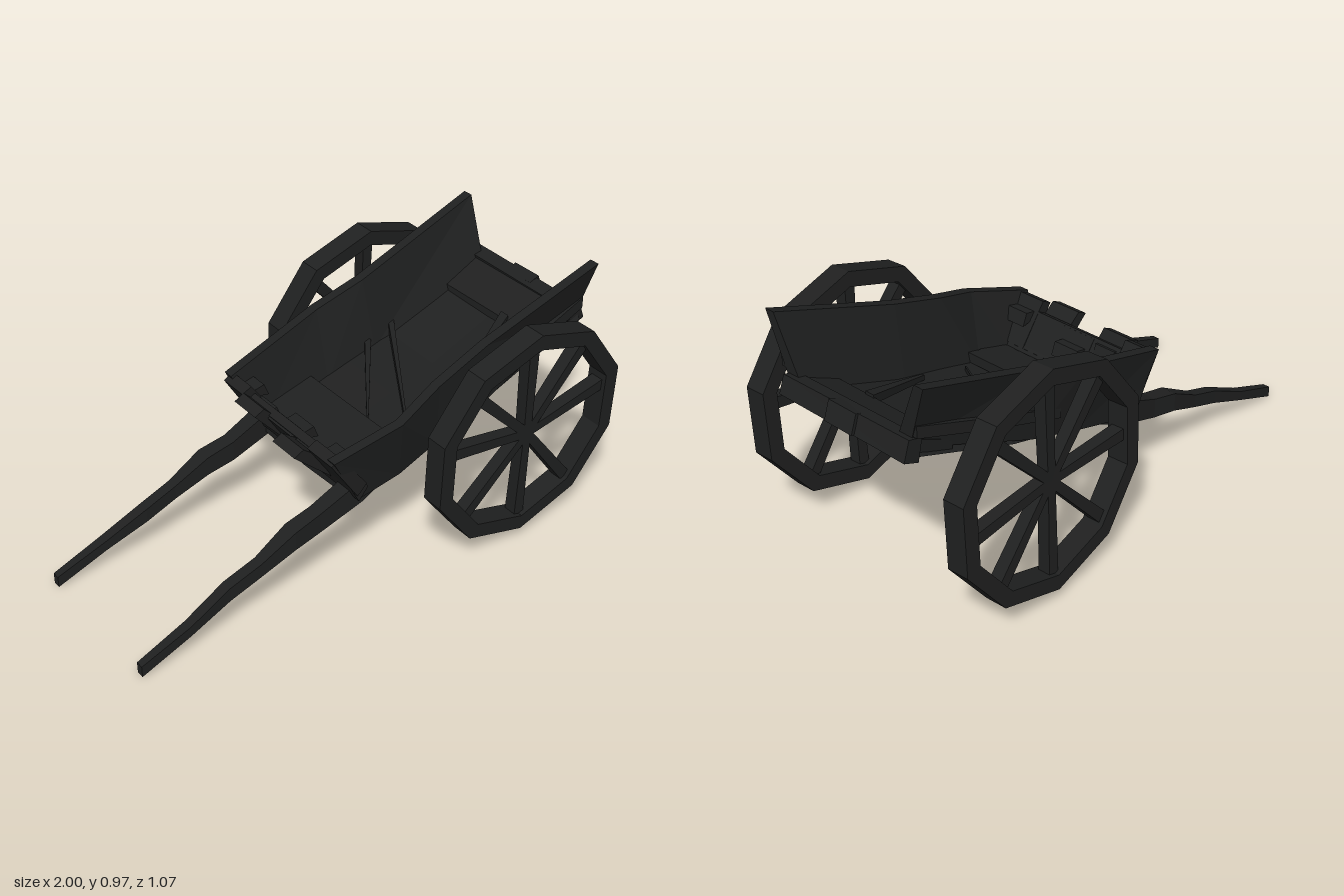
import * as THREE from 'three';

const material = new THREE.MeshStandardMaterial({ color: 0x1f2020, flatShading: true });

// Closed solid through rings of [x, y, z] points, turned so that its faces look outwards
function loft(name, rings) {
  const n = rings[0].length, tris = [];
  for (let i = 0; i + 1 < rings.length; i++) {
    for (let j = 0; j < n; j++) {
      const k = (j + 1) % n, a = rings[i], b = rings[i + 1];
      tris.push([a[j], b[j], b[k]], [a[j], b[k], a[k]]);
    }
  }
  const first = rings[0], last = rings[rings.length - 1];
  for (let j = 1; j + 1 < n; j++) {
    tris.push([first[0], first[j], first[j + 1]], [last[0], last[j + 1], last[j]]);
  }
  const o = new THREE.Vector3(...first[0]);
  let volume = 0;
  for (const t of tris) {
    const [p, q, r] = t.map((v) => new THREE.Vector3(...v).sub(o));
    volume += p.dot(q.cross(r));
  }
  if (volume < 0) tris.forEach((t) => t.reverse());
  const geometry = new THREE.BufferGeometry();
  geometry.setAttribute('position', new THREE.Float32BufferAttribute(tris.flat(2), 3));
  geometry.computeVertexNormals();
  const mesh = new THREE.Mesh(geometry, material);
  mesh.name = name;
  return mesh;
}

// Rectangular beam along x; stations are [x, y, z, height, width]
function beam(name, stations) {
  return loft(name, stations.map(([x, y, z, h, w]) => [
    [x, y - h / 2, z - w / 2], [x, y - h / 2, z + w / 2],
    [x, y + h / 2, z + w / 2], [x, y + h / 2, z - w / 2],
  ]));
}

// Ten-sided rim with spokes at slightly uneven angles, in degrees
function wheel(name, z, angles) {
  const group = new THREE.Group();
  group.name = name;
  const ring = (r) => Array.from({ length: 10 }, (_, i) => {
    const a = Math.PI / 2 + (i * Math.PI) / 5;
    return new THREE.Vector2(r * 1.04 * Math.cos(a), r * Math.sin(a));
  });
  const shape = new THREE.Shape(ring(0.43));
  shape.holes.push(new THREE.Path(ring(0.37)));
  const rimGeometry = new THREE.ExtrudeGeometry(shape, { depth: 0.085, bevelEnabled: false });
  rimGeometry.translate(0, 0, -0.0425);
  const rim = new THREE.Mesh(rimGeometry, material);
  rim.name = 'rim';
  group.add(rim);
  for (const angle of angles) {
    const spoke = beam('spoke', [[0, 0, 0, 0.035, 0.045], [0.375, 0, 0, 0.045, 0.05]]);
    spoke.rotation.z = THREE.MathUtils.degToRad(angle);
    group.add(spoke);
  }
  group.position.set(0.527, 0.475, z);
  group.rotation.set(0.035, 0.02, 0);
  return group;
}

// Flared side board; stations are [topX, topY, topZ, bottomX, bottomY, bottomZ]
function sideBoard(name, side, stations) {
  const t = 0.04 * side;
  return loft(name, stations.map(([tx, ty, tz, bx, by, bz]) => [
    [tx, ty, tz * side], [bx, by, bz * side],
    [bx, by, bz * side - t * 1.5], [tx, ty, tz * side - t],
  ]));
}

export function createModel() {
  const cart = new THREE.Group();
  cart.name = 'handCart';

  cart.add(
    wheel('leftWheel', 0.477, [10, 50, 92, 135, 170, 222, 270, 308]),
    wheel('rightWheel', -0.477, [-5, 47, 90, 132, 180, 228, 271, 312]),
  );

  // Thin sloping floor, slightly sagging in the middle
  const floor = [[-0.1, 0.32, 0.36], [0.1, 0.39, 0.425], [0.3, 0.455, 0.485], [0.5, 0.51, 0.54], [0.96, 0.69, 0.725]];
  cart.add(loft('floor', floor.map(([x, low, high]) => [
    [x, low + 0.01, -0.305], [x, low, -0.1], [x, low - 0.005, 0], [x, low, 0.1], [x, low + 0.01, 0.295],
    [x, high, 0.28], [x, high - 0.01, 0], [x, high, -0.28],
  ])));

  // Side boards, uneven along the length
  cart.add(sideBoard('leftSideBoard', 1, [
    [-0.23, 0.58, 0.35, -0.1, 0.35, 0.315], [0.03, 0.66, 0.395, 0.08, 0.39, 0.325],
    [0.22, 0.725, 0.36, 0.25, 0.45, 0.32], [0.45, 0.8, 0.345, 0.47, 0.52, 0.31],
    [0.95, 0.97, 0.367, 0.94, 0.72, 0.285],
  ]));
  cart.add(sideBoard('rightSideBoard', -1, [
    [-0.21, 0.588, 0.345, -0.1, 0.345, 0.32], [0.2, 0.715, 0.37, 0.2, 0.43, 0.315],
    [0.4, 0.785, 0.348, 0.42, 0.5, 0.31], [0.95, 0.97, 0.367, 0.94, 0.72, 0.285],
  ]));

  // Low rails along the outside of the side boards
  for (const s of [1, -1]) {
    cart.add(beam(s > 0 ? 'leftRail' : 'rightRail', [
      [0.3, 0.56, s * 0.32, 0.04, 0.03], [0.6, 0.665, s * 0.317, 0.045, 0.03],
      [0.94, 0.79, s * 0.305, 0.045, 0.03],
    ]));
  }

  // Front board, leaning outwards
  cart.add(loft('frontBoard', [-0.33, 0.335].map((z) => [
    [-0.11, 0.36, z], [-0.2, 0.535, z], [-0.17, 0.55, z], [-0.07, 0.41, z],
  ])));

  // Uneven planks on its face and battens behind: [z from, z to, top x, top y]
  const planks = [
    [-0.33, -0.21, -0.225, 0.575], [-0.21, -0.08, -0.26, 0.56], [-0.08, 0.07, -0.205, 0.535],
    [0.07, 0.2, -0.29, 0.555], [0.2, 0.34, -0.235, 0.575],
  ];
  for (const [a, b, x, y] of planks) {
    cart.add(loft('frontPlank', [a, b].map((z) => [
      [-0.12, 0.39, z], [x, y - 0.01, z], [x + 0.04, y + 0.01, z], [-0.08, 0.43, z],
    ])));
    cart.add(loft('frontBatten', [a + 0.02, b - 0.02].map((z) => [
      [x + 0.08, y - 0.06, z], [x + 0.06, y - 0.03, z],
      [x + 0.11, y - 0.02, z], [x + 0.13, y - 0.07, z],
    ])));
  }

  // Flat boards at the front and rear of the floor
  cart.add(beam('footBoard', [[-0.07, 0.4, 0, 0.04, 0.56], [0.13, 0.455, 0, 0.04, 0.56]]));
  cart.add(beam('rearBoard', [[0.77, 0.65, -0.01, 0.04, 0.57], [0.93, 0.725, -0.01, 0.05, 0.57]]));

  // Loose slats lying across the floor
  const slats = [
    [0.2, 0.46, 0.22, 0.52, 0.57, -0.28], [0.15, 0.45, 0.05, 0.4, 0.53, -0.27],
    [0.42, 0.53, 0.21, 0.78, 0.67, 0.08],
  ];
  for (const [x0, y0, z0, x1, y1, z1] of slats) {
    cart.add(beam('slat', [[x0, y0, z0, 0.02, 0.012], [x1, y1, z1, 0.035, 0.04]]));
  }

  // Tail sill and its middle block
  cart.add(loft('tailSill', [[-0.31, 0.01], [0.285, 0]].map(([z, d]) => [
    [0.93, 0.67, z], [0.99, 0.695, z], [0.965, 0.76 + d, z], [0.91, 0.745 + d, z],
  ])));
  cart.add(loft('tailBlock', [-0.08, 0.05].map((z) => [
    [0.95, 0.69, z], [1, 0.7, z], [0.975, 0.77, z], [0.93, 0.755, z],
  ])));

  // Crooked pulling shafts, ending under the front of the bed
  const path = [
    [-1, 0.025, 0.283, 0.045, 0.03], [-0.8, 0.1, 0.28, 0.04, 0.04], [-0.63, 0.17, 0.268, 0.055, 0.045],
    [-0.5, 0.215, 0.272, 0.055, 0.045], [-0.36, 0.28, 0.27, 0.075, 0.065], [-0.25, 0.302, 0.265, 0.08, 0.06],
    [-0.07, 0.372, 0.27, 0.095, 0.07], [0.06, 0.42, 0.27, 0.07, 0.06],
  ];
  cart.add(beam('leftShaft', path));
  cart.add(beam('rightShaft', path.map(([x, y, z, h, w]) => [x, y, -z - 0.012, h, w])));

  return cart;
}
